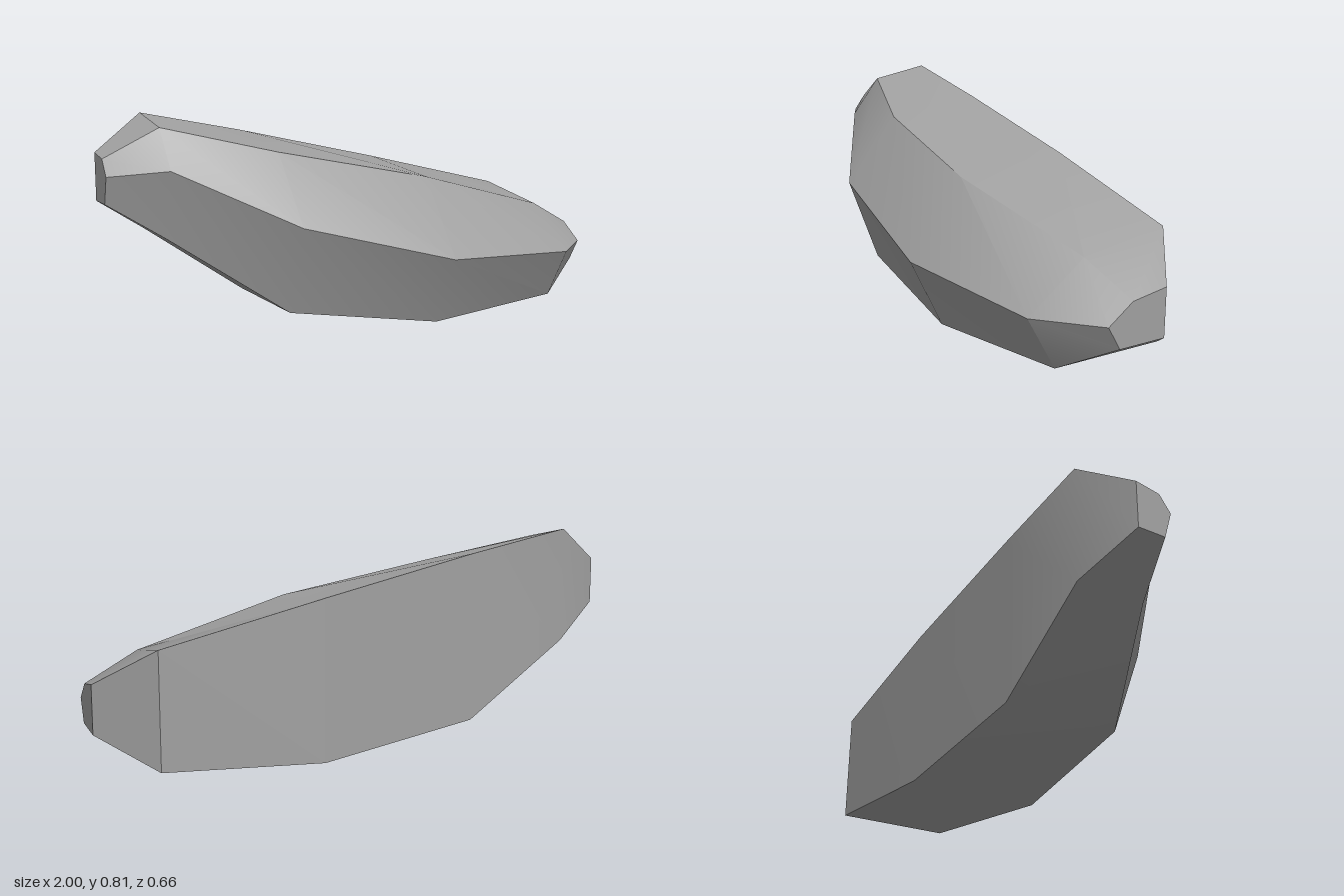
import * as THREE from 'three';
import { toCreasedNormals } from 'three/addons/utils/BufferGeometryUtils.js';

// Five-sided cross-sections along x: [z, y] for back bottom, front bottom, belly, front top, back top
const sections = [
  { x: -1.0, ring: [[-0.2, 0.51], [-0.09, 0.51], [-0.06, 0.61], [-0.105, 0.67], [-0.2, 0.685]] },
  { x: -0.8, ring: [[-0.297, 0.38], [-0.027, 0.38], [0.045, 0.63], [-0.07, 0.775], [-0.297, 0.815]] },
  { x: -0.4, ring: [[-0.31, 0.1], [0.152, 0.1], [0.275, 0.43], [0.065, 0.68], [-0.31, 0.735]] },
  { x: 0.2, ring: [[-0.33, 0], [0.198, 0.003], [0.33, 0.27], [0.115, 0.56], [-0.33, 0.6]] },
  { x: 0.8, ring: [[-0.33, 0.03], [0.12, 0.03], [0.235, 0.23], [0.01, 0.4], [-0.33, 0.455]] },
  { x: 1.0, ring: [[-0.175, 0.145], [0.012, 0.145], [0.062, 0.23], [-0.035, 0.3], [-0.175, 0.323]] },
];

// Joins neighbouring sections with faces and closes both ends
function loft(list) {
  const sides = list[0].ring.length;
  const positions = list.flatMap(({ x, ring }) => ring.flatMap(([z, y]) => [x, y, z]));
  const index = [];
  for (let i = 0; i < list.length - 1; i++) {
    for (let j = 0; j < sides; j++) {
      const a = i * sides + j;
      const d = i * sides + ((j + 1) % sides);
      const b = a + sides;
      const c = d + sides;
      index.push(a, b, d, b, c, d);
    }
  }
  const last = (list.length - 1) * sides;
  for (let j = 1; j < sides - 1; j++) {
    index.push(0, j, j + 1);
    index.push(last, last + j + 1, last + j);
  }
  const geometry = new THREE.BufferGeometry();
  geometry.setAttribute('position', new THREE.Float32BufferAttribute(positions, 3));
  geometry.setIndex(index);
  return toCreasedNormals(geometry, Math.PI / 6);
}

export function createModel() {
  const model = new THREE.Group();
  model.name = 'rock';

  const stone = new THREE.MeshStandardMaterial({ color: 0xa0a0a0 });
  stone.name = 'grey stone';

  // Faceted stone body
  const body = new THREE.Mesh(loft(sections), stone);
  body.name = 'stoneBody';
  model.add(body);
  return model;
}
